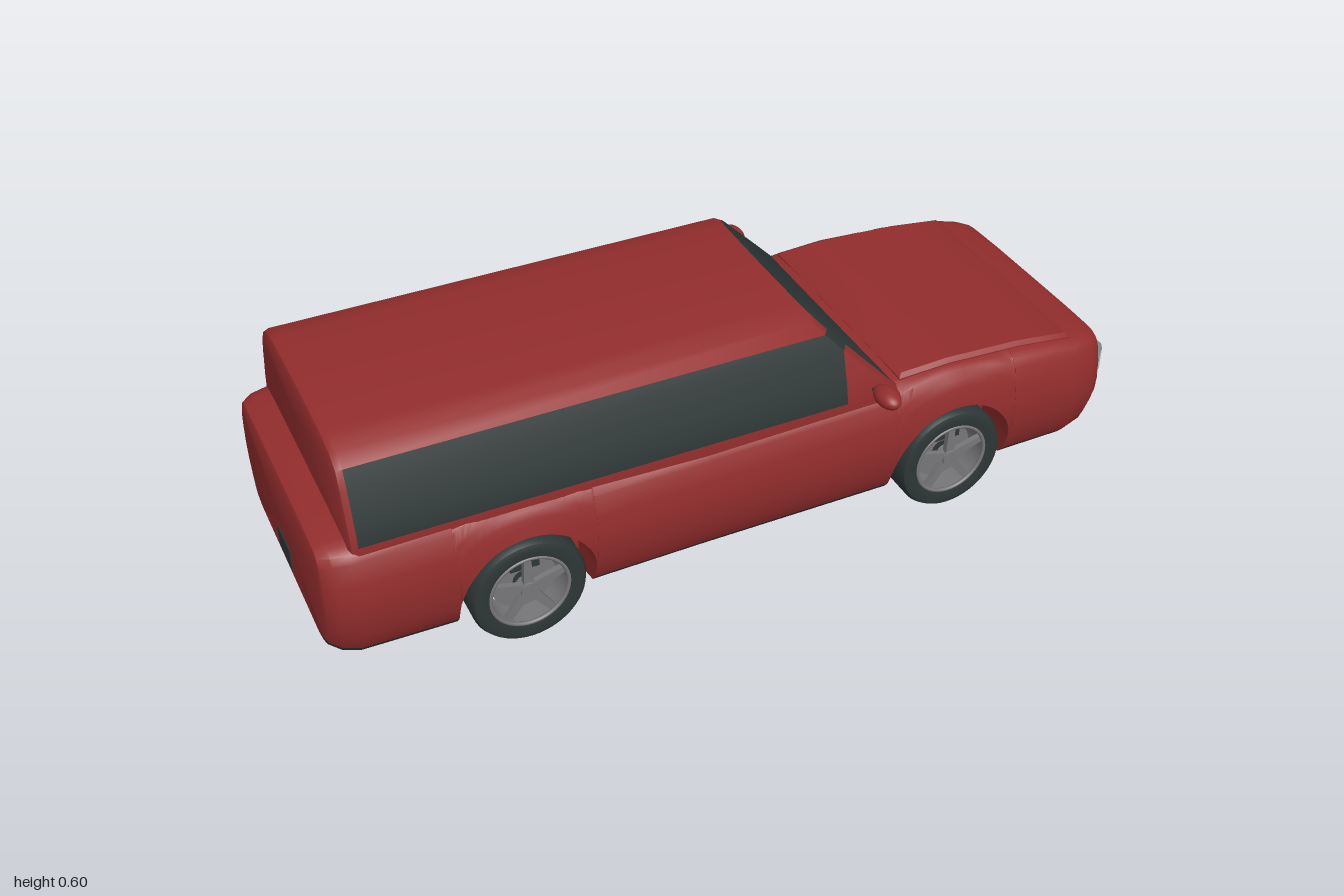
import * as THREE from 'three';
import { toCreasedNormals } from 'three/addons/utils/BufferGeometryUtils.js';

const flat = (name, color, side = THREE.FrontSide) => {
  const m = new THREE.MeshStandardMaterial({ color, side });
  m.name = name;
  return m;
};

// Symmetric cross-section: half is a list of [z, y] from the bottom up on the +z side
function ring(half, xOf) {
  const other = half.filter(p => p[0] > 0).reverse().map(([z, y]) => [-z, y]);
  return [...half, ...other].map(([z, y]) => [xOf(y), y, z]);
}

// Skin a row of rings and cap both ends; pick(i, k) gives a material index per strip
function loft(name, rings, m, mats, pick, caps) {
  const n = rings[0].length, pos = rings.flat(2), buckets = mats.map(() => []);
  for (let i = 0; i < rings.length - 1; i++) {
    for (let j = 0; j < n; j++) {
      const a = i * n + j, b = i * n + (j + 1) % n, c = b + n, d = a + n;
      buckets[pick(i, j < m - 1 ? j : 2 * m - 3 - j)].push(a, d, c, a, c, b);
    }
  }
  [0, rings.length - 1].forEach((i, e) => {
    const centre = pos.length / 3;
    for (let q = 0; q < 3; q++) pos.push(rings[i].reduce((s, p) => s + p[q], 0) / n);
    for (let j = 0; j < n; j++) {
      const a = i * n + j, b = i * n + (j + 1) % n;
      buckets[caps[e]].push(centre, ...(e ? [b, a] : [a, b]));
    }
  });
  const geo = new THREE.BufferGeometry();
  geo.setAttribute('position', new THREE.Float32BufferAttribute(pos, 3));
  geo.setIndex(buckets.flat());
  let start = 0;
  buckets.forEach((list, k) => { geo.addGroup(start, list.length, k); start += list.length; });
  const mesh = new THREE.Mesh(toCreasedNormals(geo, 0.6), mats);
  mesh.name = name;
  return mesh;
}

const lerpRow = (table, key, out) => {
  let i = 1;
  while (i < table.length - 1 && table[i][0] < key) i++;
  const [a, b] = [table[i - 1], table[i]];
  return THREE.MathUtils.lerp(a[out], b[out], THREE.MathUtils.clamp((key - a[0]) / (b[0] - a[0]), 0, 1));
};

// Body stations: x, half width, bottom, top
const BODY = [
  [-1, 0.315, 0.105, 0.375], [-0.995, 0.33, 0.1, 0.385], [-0.97, 0.35, 0.088, 0.392],
  [-0.93, 0.36, 0.078, 0.395], [-0.55, 0.366, 0.075, 0.39], [-0.1, 0.36, 0.075, 0.385],
  [0.38, 0.36, 0.075, 0.395], [0.55, 0.366, 0.075, 0.402], [0.75, 0.362, 0.075, 0.392],
  [0.9, 0.36, 0.075, 0.373], [0.96, 0.345, 0.085, 0.361], [0.99, 0.325, 0.1, 0.352], [1, 0.31, 0.108, 0.343]];
// Side bulge: height fraction, width fraction
const SIDE = [[0.09, 0.91], [0.22, 0.955], [0.38, 0.99], [0.53, 1], [0.72, 0.985], [0.88, 0.95],
  [0.94, 0.92], [0.975, 0.87], [0.99, 0.8], [1, 0.5], [1.001, 0]];
const WHEEL_X = [-0.545, 0.555], WHEEL_Y = 0.14, ARCH = 0.163;

function bodyHalf(x, arch) {
  const [w, b, t] = [1, 2, 3].map(k => lerpRow(BODY, x, k));
  const low = arch === null ? 0.09 : (arch - b) / (t - b);
  const under = y => arch === null ? y : arch;
  const side = SIDE.map(([f]) => {
    const g = low + (f - 0.09) * (1 - low) / 0.91;
    return [f > 1 ? 0 : w * lerpRow(SIDE, g, 1), b + g * (t - b)];
  });
  return [[0, b], [0.65 * w, b], [0.65 * w, under(b)], [0.75 * w, under(b)], [0.87 * w, under(b + 0.01)], ...side];
}

function makeBody(red, dark) {
  // Plain stations, with round wheel openings stepped into the lower edge
  const stations = BODY.filter(r => WHEEL_X.every(c => Math.abs(r[0] - c) > ARCH)).map(r => [r[0], null]);
  for (const c of WHEEL_X) {
    stations.push([c - ARCH, null]);
    for (let k = 0; k <= 20; k++) {
      const a = Math.PI * (1 - k / 20);
      stations.push([c + ARCH * Math.cos(a), WHEEL_Y + ARCH * Math.sin(a)]);
    }
    stations.push([c + ARCH, null]);
  }
  stations.sort((p, q) => Math.abs(p[0] - q[0]) < 1e-9 ? 0 : p[0] - q[0]);
  const rings = stations.map(([x, arch]) => ring(bodyHalf(x, arch), () => x));
  const open = i => stations[i][1] !== null;
  return loft('body', rings, SIDE.length + 5, [red, dark],
    (i, k) => k === 0 || (k < 5 && !open(i) && !open(i + 1)) ? 1 : 0, [0, 0]);
}

function makeCabin(red, dark) {
  const half = [[0.335, 0.36], [0.335, 0.39], [0.328, 0.43], [0.316, 0.47], [0.302, 0.52], [0.285, 0.565],
    [0.25, 0.588], [0.19, 0.598], [0.09, 0.602], [0, 0.603]];
  const front = y => 0.39 - (y - 0.4) * 0.95;
  const inset = (sz, sy) => half.map(([z, y]) => [z * sz, 0.36 + (y - 0.36) * sy]);
  const rings = [
    ring(inset(0.95, 0.93), () => -0.93), ring(inset(0.985, 0.98), () => -0.924), ring(half, () => -0.91),
    ring(half, y => Math.min(0.26, front(y) - 0.015)), ring(half, y => front(y) - 0.015),
    ring(inset(0.93, 1), front)];
  // Side glass between the belt line and the roof; the front cap is the windscreen
  const glass = (i, k) => (i === 2 && k >= 1 && k <= 4) || (i > 2 && k === 4);
  return loft('cabin', rings, half.length, [red, dark], (i, k) => glass(i, k) ? 1 : 0, [0, 1]);
}

function makeBonnet(red) {
  const rings = [0.415, 0.425, 0.5, 0.55, 0.65, 0.75, 0.82, 0.89, 0.9].map((x, i, all) => {
    const y = lerpRow(BODY, x, 3), up = i === 0 || i === all.length - 1 ? 0 : 0.006;
    return ring([[0, y - 0.02], [0.305, y - 0.02], [0.305, y - 0.003], [0.295, y + up], [0, y + up + 0.001]], () => x);
  });
  return loft('bonnetPanel', rings, 5, [red], () => 0, [0, 0]);
}

function makeWheel(dark, metal) {
  const g = new THREE.Group();
  g.name = 'wheel';
  const add = (name, geo, mat, z = 0) => {
    const m = new THREE.Mesh(geo, mat);
    m.name = name;
    m.position.z = z;
    g.add(m);
    return m;
  };
  const tyre = [[0.096, -0.045], [0.122, -0.05], [0.133, -0.046], [0.139, -0.034], [0.139, 0.034],
    [0.133, 0.046], [0.122, 0.05], [0.096, 0.045], [0.096, -0.045]].map(p => new THREE.Vector2(...p));
  add('tyre', toCreasedNormals(new THREE.LatheGeometry(tyre, 48).rotateX(Math.PI / 2), 0.7), dark);
  add('rimBarrel', new THREE.CylinderGeometry(0.095, 0.095, 0.088, 40, 1, true).rotateX(Math.PI / 2), metal);
  add('rimLip', new THREE.TorusGeometry(0.094, 0.005, 8, 48), metal, 0.043);
  add('brakeDisc', new THREE.CylinderGeometry(0.078, 0.078, 0.008, 32).rotateX(Math.PI / 2), metal, -0.005);
  add('axle', new THREE.CylinderGeometry(0.025, 0.025, 0.08, 16).rotateX(Math.PI / 2), dark, -0.04);
  add('hub', new THREE.CylinderGeometry(0.02, 0.024, 0.03, 20).rotateX(Math.PI / 2), metal, 0.028);
  add('caliper', new THREE.BoxGeometry(0.07, 0.035, 0.025), dark, 0.006).position.y = 0.062;
  // Five tapering spokes
  const s = new THREE.Shape([[-0.013, 0], [0.013, 0], [0.008, 0.094], [-0.008, 0.094]].map(p => new THREE.Vector2(...p)));
  for (let k = 0; k < 5; k++) {
    const geo = new THREE.ExtrudeGeometry(s, { depth: 0.014, bevelEnabled: false });
    add('spoke', geo, metal, 0.024).rotation.z = k * Math.PI * 2 / 5;
  }
  return g;
}

export function createModel() {
  const red = flat('red paint', 0x932d2d);
  const dark = flat('dark glass and rubber', 0x2d3636);
  const metal = flat('wheel metal', 0x77777a, THREE.DoubleSide);
  const lamp = flat('lamp', 0xcfcfcf, THREE.DoubleSide);
  const car = new THREE.Group();
  car.name = 'car';
  car.add(makeBody(red, dark), makeCabin(red, dark), makeBonnet(red));

  const add = (name, geo, mat, x, y, z) => {
    const m = new THREE.Mesh(geo, mat);
    m.name = name;
    m.position.set(x, y, z);
    car.add(m);
    return m;
  };
  // Nose grille and tail plate
  add('grille', new THREE.BoxGeometry(0.008, 0.175, 0.2), dark, 0.999, 0.2325, -0.1);
  add('tailPlate', new THREE.BoxGeometry(0.008, 0.06, 0.1), dark, -0.999, 0.157, -0.01);

  for (const s of [1, -1]) {
    // Headlamp wrapping round the nose corner
    const path = [[1.003, 0.22], [1.003, 0.305], [0.993, 0.323], [0.975, 0.339]];
    const geo = new THREE.PlaneGeometry(1, 1, 3, 1), p = geo.attributes.position;
    for (let i = 0; i < p.count; i++) {
      const [x, z] = path[i % 4];
      p.setXYZ(i, x, i < 4 ? 0.32 : 0.26, s * z);
    }
    geo.computeVertexNormals();
    add('headlamp', geo, lamp, 0, 0, 0);
    // Door mirror on a thin stalk
    add('mirror', new THREE.SphereGeometry(1, 28, 18), red, 0.328, 0.427, s * 0.392).scale.set(0.028, 0.022, 0.044);
    add('mirrorStalk', new THREE.CylinderGeometry(0.004, 0.004, 0.08, 8).rotateX(Math.PI / 2), dark, 0.328, 0.41, s * 0.35);
    for (const x of WHEEL_X) {
      const w = makeWheel(dark, metal);
      w.position.set(x, 0.139, s * 0.305);
      if (s < 0) w.rotation.y = Math.PI;
      car.add(w);
    }
  }
  return car;
}
